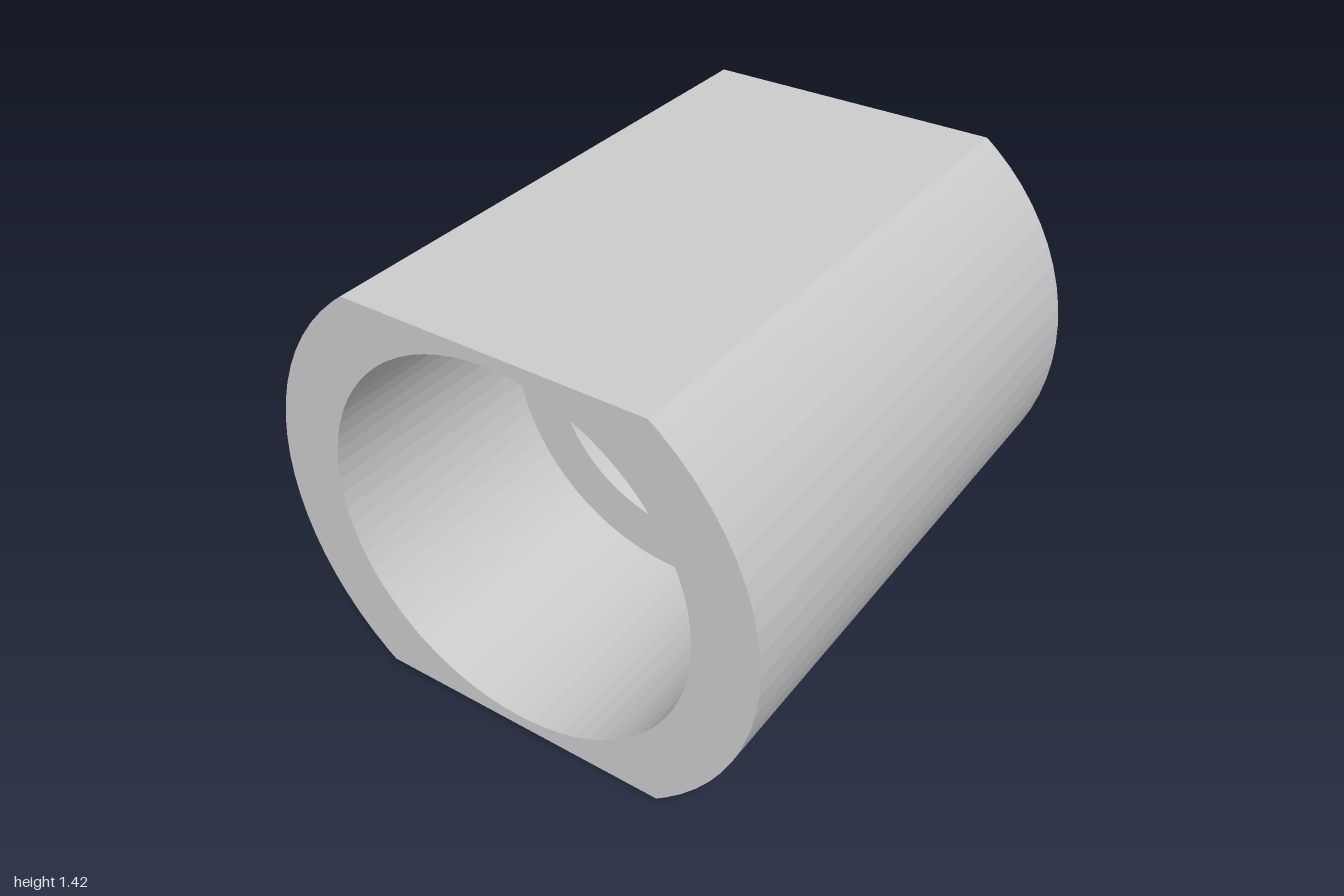
import * as THREE from 'three';

const CENTRE_Y = 0.71, OUTER = 0.89, COUNTERBORE = 0.667;
const MAJOR = 0.485, MINOR = 0.372;       // thread root and crest radii
const FLOOR_Z = 0.13, BORE = 1.13, TURNS = 5, PITCH = BORE / TURNS;
const CREST = 6 / 72, ROOT = 15 / 72;     // half widths of the ridge, in turns

// Columns around the axis: even steps plus the four edges of the flats.
function makeColumns() {
  const phases = Array.from({ length: 73 }, (_, i) => i / 72);
  const edge = Math.asin(CENTRE_Y / OUTER) / (2 * Math.PI);
  phases.push(edge, 0.5 - edge, 0.5 + edge, 1 - edge);
  phases.sort((a, b) => a - b);
  const columns = phases.map((phase) => ({ phase, angle: Math.PI * (1 - 2 * phase) }));
  // repeating the first phase at the seam closes the blunt start of the thread
  columns.push({ phase: 0, angle: -Math.PI });
  return columns;
}

// Round outside cut by a flat above and below.
function outerRadius(angle) {
  return Math.min(OUTER, CENTRE_Y / Math.max(Math.abs(Math.sin(angle)), 1e-6));
}

// Bore radius at a given depth: a trapezoidal right-hand ridge.
function boreRadius(depth, phase) {
  const s = depth / PITCH - phase;
  const x = Math.abs(s - Math.max(0, Math.round(s)));
  const t = THREE.MathUtils.clamp((x - CREST) / (ROOT - CREST), 0, 1);
  return THREE.MathUtils.lerp(MINOR, MAJOR, t);
}

// Joins the [radius, z] profiles of all columns into a surface.
function sweep(name, profile, material) {
  const columns = makeColumns().map(({ phase, angle }) =>
    profile(phase, angle).map(([r, z]) =>
      new THREE.Vector3(r * Math.cos(angle), CENTRE_Y + r * Math.sin(angle), z)));
  const points = [];
  const tri = new THREE.Triangle();
  const add = (a, b, c) => {
    if (tri.set(a, b, c).getArea() > 1e-8) points.push(a, b, c);
  };
  for (let i = 0; i < columns.length - 1; i++) {
    const p = columns[i], q = columns[i + 1];
    for (let j = 0; j < p.length - 1; j++) {
      add(p[j], p[j + 1], q[j]);
      add(q[j], p[j + 1], q[j + 1]);
    }
  }
  const geometry = new THREE.BufferGeometry().setFromPoints(points);
  geometry.computeVertexNormals();
  const mesh = new THREE.Mesh(geometry, material);
  mesh.name = name;
  return mesh;
}

export function createModel() {
  const group = new THREE.Group();
  group.name = 'threadedNut';
  const material = new THREE.MeshStandardMaterial({ color: 0xcccccc, flatShading: true });

  // Back face, outside wall, front face, counterbore and its floor
  group.add(sweep('body', (phase, angle) => [
    [boreRadius(BORE, phase), -1],
    [outerRadius(angle), -1],
    [outerRadius(angle), 1],
    [COUNTERBORE, 1],
    [COUNTERBORE, FLOOR_Z],
    [boreRadius(0, phase), FLOOR_Z],
  ], material));

  // Threaded bore: rows follow the helical edges, cut off at both ends
  group.add(sweep('threadedBore', (phase) => {
    const depths = [0];
    for (let n = 0; n <= TURNS; n++) {
      for (const offset of [-ROOT, -CREST, CREST, ROOT]) {
        depths.push(THREE.MathUtils.clamp(PITCH * (phase + n + offset), 0, BORE));
      }
    }
    depths.push(BORE);
    return depths.map((d) => [boreRadius(d, phase), FLOOR_Z - d]);
  }, material));

  return group;
}
